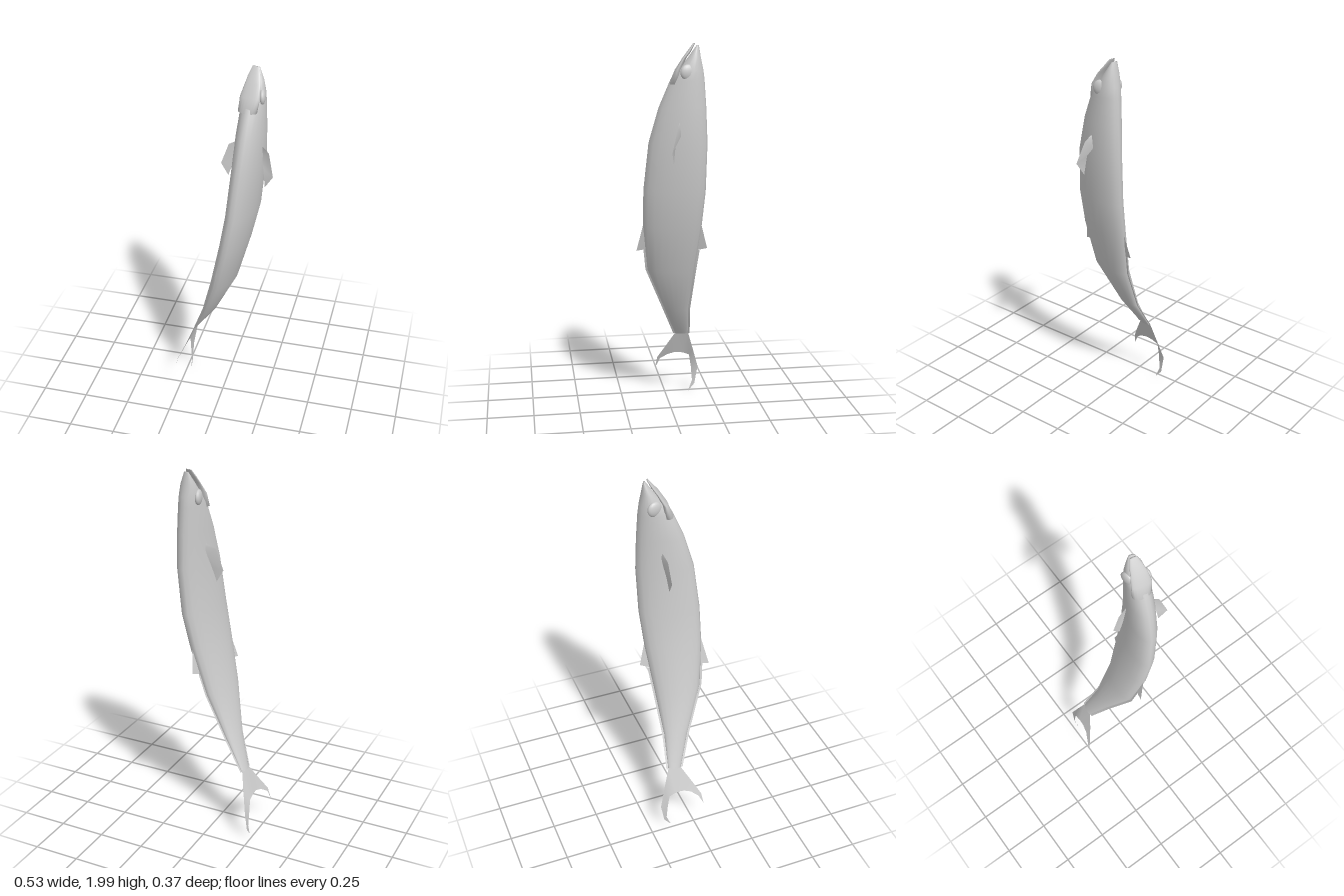
import * as THREE from 'three';

const grey = new THREE.MeshStandardMaterial({ color: 0xcccccc });
const thin = new THREE.MeshStandardMaterial({ color: 0xcccccc, side: THREE.DoubleSide });

function meshFrom(name, pos, index, material) {
  const g = new THREE.BufferGeometry();
  g.setAttribute('position', new THREE.Float32BufferAttribute(pos, 3));
  g.setIndex(index);
  g.computeVertexNormals();
  const mesh = new THREE.Mesh(g, material);
  mesh.name = name;
  return mesh;
}

// Cross-sections from head to tail: [y, bellyX, bellyZ, backX, backZ, half thickness]
const BODY = [
  [1.99, 0.143, -0.107, 0.147, -0.118, 0.016],
  [1.93, 0.138, -0.064, 0.152, -0.128, 0.04],
  [1.87, 0.13, -0.018, 0.157, -0.14, 0.053],
  [1.82, 0.122, 0.022, 0.16, -0.146, 0.058],
  [1.68, 0.11, 0.08, 0.165, -0.155, 0.065],
  [1.5, 0.095, 0.13, 0.168, -0.162, 0.067],
  [1.25, 0.07, 0.155, 0.148, -0.158, 0.066],
  [1.05, 0.035, 0.153, 0.105, -0.145, 0.062],
  [0.8, -0.02, 0.124, 0.04, -0.118, 0.056],
  [0.55, -0.1, 0.02, -0.07, -0.104, 0.033],
  [0.38, -0.178, -0.05, -0.17, -0.12, 0.008],
];
const JAW = [
  [2.0, 0.14, -0.09, 0.142, -0.1, 0.018],
  [1.96, 0.137, -0.06, 0.141, -0.08, 0.033],
  [1.93, 0.135, -0.038, 0.14, -0.058, 0.041],
  [1.87, 0.128, 0.0, 0.134, -0.03, 0.053],
  [1.8, 0.118, 0.028, 0.128, -0.03, 0.05],
];

// Skins a row of oval sections and closes both ends
function loft(name, sections, sides = 20) {
  const pos = [], index = [];
  const rings = [[sections[0], 0], ...sections.map((s) => [s, 1]), [sections.at(-1), 0]];
  for (const [[y, bx, bz, kx, kz, h], size] of rings) {
    const dx = (bx - kx) / 2, dz = (bz - kz) / 2, len = Math.hypot(dx, dz);
    for (let j = 0; j < sides; j++) {
      const a = (j / sides) * Math.PI * 2;
      const c = Math.cos(a) * size, s = Math.sin(a) * h * size;
      pos.push((bx + kx) / 2 + dx * c + (dz / len) * s, y, (bz + kz) / 2 + dz * c - (dx / len) * s);
    }
  }
  for (let i = 0; i < rings.length - 1; i++) {
    for (let j = 0; j < sides; j++) {
      const a = i * sides + j, b = i * sides + ((j + 1) % sides);
      index.push(a, a + sides, b, b, a + sides, b + sides);
    }
  }
  return meshFrom(name, pos, index, grey);
}

// Thin sheet between two edges with equal point counts
function sheet(name, edgeA, edgeB) {
  const index = [], n = edgeA.length;
  for (let i = 0; i < n - 1; i++) index.push(i, i + 1, n + i, n + i, i + 1, n + i + 1);
  return meshFrom(name, [...edgeA, ...edgeB].flat(), index, thin);
}

// Point on the belly (side 0) or back (side 1) ridge, pushed outward
function ridge(y, side, out = 0) {
  let i = 0;
  while (i < BODY.length - 2 && BODY[i + 1][0] > y) i++;
  const t = (BODY[i][0] - y) / (BODY[i][0] - BODY[i + 1][0]);
  const s = BODY[i].map((v, k) => v + (BODY[i + 1][k] - v) * t);
  const dx = s[1] - s[3], dz = s[2] - s[4], len = Math.hypot(dx, dz);
  const k = (side ? -out : out) / len;
  return [s[1 + side * 2] + dx * k, y, s[2 + side * 2] + dz * k];
}

export function createModel() {
  const fish = new THREE.Group();
  fish.name = 'fish';
  fish.add(loft('body', BODY), loft('lowerJaw', JAW));

  // Eyes
  for (const [name, x, z] of [['leftEye', 0.182, -0.058], ['rightEye', 0.098, -0.078]]) {
    const eye = new THREE.Mesh(new THREE.SphereGeometry(0.04, 16, 12), grey);
    eye.name = name;
    eye.scale.x = 0.45;
    eye.rotation.y = 0.2;
    eye.position.set(x, 1.86, z);
    fish.add(eye);
  }

  // Pectoral fins
  fish.add(sheet('leftPectoralFin',
    [[0.19, 1.62, -0.015], [0.235, 1.585, 0.0], [0.265, 1.47, 0.032], [0.222, 1.4, 0.018]],
    [[0.19, 1.61, -0.02], [0.195, 1.55, -0.025], [0.21, 1.5, 0.008], [0.222, 1.4, 0.018]]));
  fish.add(sheet('rightPectoralFin',
    [[0.08, 1.62, -0.05], [0.02, 1.59, -0.04], [-0.018, 1.48, -0.034], [0.02, 1.415, -0.034]],
    [[0.08, 1.6, -0.055], [0.065, 1.55, -0.05], [0.045, 1.49, -0.04], [0.02, 1.415, -0.034]]));

  // Small fins and the low strips running to the tail
  const tips = [[0.0, 0.91, 0.185], [0.092, 0.935, -0.178]];
  ['anal', 'dorsal'].forEach((name, side) => {
    fish.add(sheet(name + 'Fin',
      [ridge(1.06, side), tips[side]],
      [ridge(1.0, side, -0.01), ridge(0.92, side, -0.005)]));
    const ys = [0.92, 0.8, 0.68, 0.55, 0.46, 0.38];
    fish.add(sheet(name + 'Strip',
      ys.map((y) => ridge(y, side, 0.011)),
      ys.map((y) => ridge(y, side, -0.01))));
  });

  // Forked tail fin
  fish.add(sheet('tailFin', [
    [-0.225, 0.01, -0.13], [-0.226, 0.055, -0.168], [-0.222, 0.16, -0.186], [-0.198, 0.27, -0.155],
    [-0.172, 0.39, -0.12], [-0.178, 0.39, -0.055], [-0.215, 0.3, -0.005], [-0.255, 0.215, 0.042], [-0.27, 0.145, 0.053],
  ], [
    [-0.225, 0.01, -0.13], [-0.228, 0.075, -0.155], [-0.23, 0.16, -0.148], [-0.229, 0.23, -0.137],
    [-0.228, 0.245, -0.1], [-0.23, 0.25, -0.06], [-0.24, 0.235, -0.015], [-0.26, 0.205, 0.025], [-0.27, 0.145, 0.053],
  ]));
  return fish;
}
